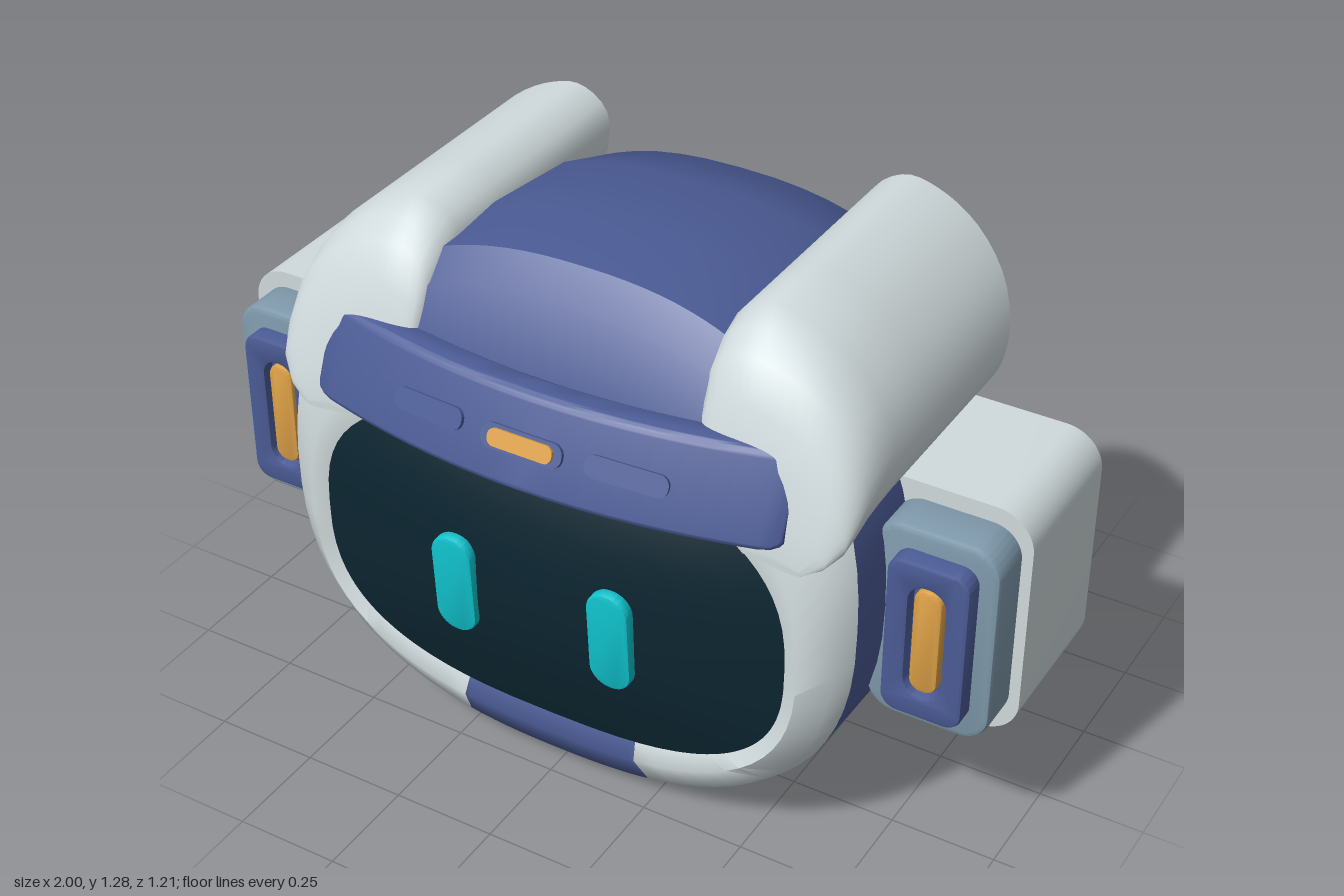
import * as THREE from 'three';
import { toCreasedNormals } from 'three/addons/utils/BufferGeometryUtils.js';

const material = (name, color) => {
  const m = new THREE.MeshStandardMaterial({ color });
  m.name = name;
  return m;
};

// Skin through cross-sections; sections run counter-clockwise seen from the end they advance to
function loft(rings, { closed = true, startCap = false, endCap = false, crease = 1 } = {}) {
  const n = rings[0].length, pos = [], idx = [];
  rings.forEach(r => r.forEach(p => pos.push(p.x, p.y, p.z)));
  for (let i = 0; i < rings.length - 1; i++) {
    for (let j = 0; j < (closed ? n : n - 1); j++) {
      const a = i * n + j, b = i * n + (j + 1) % n;
      idx.push(a, b, a + n, b, b + n, a + n);
    }
  }
  const cap = (row, flip) => {
    const c = new THREE.Vector3();
    rings[row].forEach(p => c.addScaledVector(p, 1 / n));
    const k = pos.length / 3;
    pos.push(c.x, c.y, c.z);
    for (let j = 0; j < n; j++) {
      const a = row * n + j, b = row * n + (j + 1) % n;
      idx.push(k, flip ? b : a, flip ? a : b);
    }
  };
  if (startCap) cap(0, true);
  if (endCap) cap(rings.length - 1, false);
  const g = new THREE.BufferGeometry();
  g.setAttribute('position', new THREE.Float32BufferAttribute(pos, 3));
  g.setIndex(idx);
  return toCreasedNormals(g, crease);
}

// Superellipse ring; the front rings lean back towards the top
function oval([z, bottom, top, halfWidth], { n = 2.4, lean = 0, from = 0, to = Math.PI * 2, steps = 64, closed = true } = {}) {
  const pts = [], count = closed ? steps : steps + 1;
  const power = v => Math.sign(v) * Math.abs(v) ** (2 / n);
  for (let i = 0; i < count; i++) {
    const a = from + (to - from) * i / steps;
    const y = (top + bottom) / 2 + (top - bottom) / 2 * power(Math.sin(a));
    pts.push(new THREE.Vector3(halfWidth * power(Math.cos(a)), y, z - lean * Math.max(0, y - 0.6) ** 2));
  }
  return pts;
}

function roundedRect(w, h, r, Type = THREE.Shape) {
  const s = new Type(), x = w / 2, y = h / 2;
  s.absarc(x - r, y - r, r, 0, Math.PI / 2);
  s.absarc(-x + r, y - r, r, Math.PI / 2, Math.PI);
  s.absarc(-x + r, -y + r, r, Math.PI, Math.PI * 1.5);
  s.absarc(x - r, -y + r, r, Math.PI * 1.5, Math.PI * 2);
  s.closePath();
  return s;
}

// Rounded plate from z = 0 to z = depth, with an optional rounded hole [w, h, r]
function plate(w, h, r, depth, bevel = 0, hole = null) {
  const s = roundedRect(w - 2 * bevel, h - 2 * bevel, r - bevel);
  if (hole) s.holes.push(roundedRect(...hole, THREE.Path));
  const g = new THREE.ExtrudeGeometry(s, {
    depth: depth - 2 * bevel, curveSegments: 8, bevelEnabled: bevel > 0,
    bevelSize: bevel, bevelThickness: bevel, bevelSegments: 2,
  });
  g.translate(0, 0, bevel);
  return toCreasedNormals(g, 0.6);
}

export function createModel() {
  const model = new THREE.Group();
  model.name = 'robotHead';
  const blue = material('blue', 0x4b5b95), white = material('paleGrey', 0xd0dadc);
  const steel = material('steelBlue', 0x7f99ab), dark = material('screenDark', 0x0c2530);
  const cyan = material('cyan', 0x10c4ce), amber = material('amber', 0xdca046);
  const add = (parent, name, geometry, mat, x = 0, y = 0, z = 0) => {
    const m = new THREE.Mesh(geometry, mat);
    m.name = name;
    m.position.set(x, y, z);
    parent.add(m);
    return m;
  };

  // Shell: [z, bottom, top, half width] from back to front
  const lean = 0.24, seam = [0.42, 0.01, 1.25, 0.72];
  const shell = [
    [-0.568, 0.45, 0.82, 0.2], [-0.5, 0.25, 1.03, 0.45], [-0.35, 0.1, 1.17, 0.62],
    [-0.13, 0.02, 1.24, 0.7], [0.14, 0, 1.265, 0.725],
  ].map(r => oval(r));
  add(model, 'shell', loft([...shell, oval(seam, { lean })], { startCap: true }), blue);

  // Face rim, split into pale sides and blue top and bottom
  const rim = [seam, [0.465, 0.04, 1.18, 0.69], [0.505, 0.12, 0.98, 0.625], [0.49, 0.165, 0.895, 0.59]];
  const rad = Math.PI / 180;
  [['rimLeft', -74.5, 55, white], ['rimTop', 55, 125, blue],
    ['rimRight', 125, 254.5, white], ['rimBottom', 254.5, 285.5, blue]].forEach(([name, a, b, mat]) => {
    const rows = rim.map((r, i) => oval(r, {
      n: 2.4 + i * 0.1, lean, from: a * rad, to: b * rad, steps: 24, closed: false,
    }));
    add(model, name, loft(rows, { closed: false }), mat);
  });

  // Domed screen and eyes
  const screen = [1, 0.85, 0.68, 0.5, 0.3, 0.12].map(t =>
    oval([0.49 + 0.062 * (1 - t * t), 0.53 - 0.365 * t, 0.53 + 0.365 * t, 0.59 * t], { n: 2.7, lean }));
  add(model, 'screen', loft(screen, { endCap: true }), dark);
  for (const s of [-1, 1]) {
    const eye = add(model, s > 0 ? 'leftEye' : 'rightEye', plate(0.104, 0.26, 0.05, 0.03, 0.006), cyan, s * 0.2, 0.5, 0.535);
    eye.rotation.x = 0.06;
  }

  // Brow visor, bowed across x and leaning back
  const bow = x => -0.09 * (x / 0.58) ** 2;
  const profile = roundedRect(0.2, 0.07, 0.018).getPoints(4).slice(0, -1);
  const visor = [];
  for (let i = 0; i <= 24; i++) {
    const x = Math.sin((i / 24 - 0.5) * Math.PI) * 0.58;
    const k = 0.84 + 0.16 * Math.sqrt(Math.min(1, (0.58 - Math.abs(x)) / 0.03));
    visor.push(profile.map(p => new THREE.Vector3(x, 0.948 + p.x * k, 0.53 + bow(x) + p.y * k - 0.42 * p.x * k)));
  }
  add(model, 'visor', loft(visor, { startCap: true, endCap: true, crease: 0.7 }), blue);
  const slot = (name, w, h, depth, mat, x) => {
    const m = add(model, name, plate(w, h, h / 2 - 0.002, depth), mat, x, 0.945, 0.565 + bow(x));
    m.rotation.set(-0.4, -Math.atan(2 * bow(x) / (x || 1)), 0);
  };
  slot('visorLampFrame', 0.2, 0.056, 0.009, blue, 0);
  slot('visorLamp', 0.16, 0.04, 0.016, amber, 0);
  for (const s of [-1, 1]) slot('visorSlot', 0.19, 0.05, 0.009, blue, s * 0.245);

  // Top pads: a thick curved section swept front to back, draping over the rim
  const outer = new THREE.CatmullRomCurve3([
    [0.34, 1.04], [0.343, 1.22], [0.42, 1.275], [0.5, 1.262], [0.6, 1.205],
    [0.69, 1.1], [0.726, 0.98], [0.71, 0.915], [0.66, 0.89],
  ].map(([x, y]) => new THREE.Vector3(x, y, 0))).getPoints(30);
  const section = [...outer, new THREE.Vector3(0.5, 0.98, 0)];
  // [z, width scale, height scale]
  const stations = [[0.1, 1, 1], [0.28, 1, 1], [0.34, 0.99, 0.95], [0.39, 0.97, 0.86],
    [0.43, 0.93, 0.68], [0.46, 0.86, 0.48], [0.485, 0.65, 0.25], [0.5, 0.35, 0.08]];
  for (const s of [-1, 1]) {
    const rows = [section.map(p => new THREE.Vector3(p.x * s, p.y,
      -0.34 + 0.14 * (Math.max(0, 1.275 - p.y) / 0.38) ** 1.6))];
    stations.forEach(([z, kx, ky]) => rows.push(section.map(p =>
      new THREE.Vector3(s * (0.57 + (p.x - 0.57) * kx), 0.79 + (p.y - 0.79) * ky, z))));
    if (s > 0) rows.forEach(r => r.reverse());
    add(model, s > 0 ? 'leftPad' : 'rightPad', loft(rows, { startCap: true, endCap: true, crease: 0.8 }), white);
  }

  // Ear pods with stepped fronts and amber lamps
  for (const s of [-1, 1]) {
    const ear = new THREE.Group();
    ear.name = s > 0 ? 'leftEar' : 'rightEar';
    model.add(ear);
    add(ear, 'earBlock', plate(0.4, 0.58, 0.09, 0.355), white, s * 0.8, 0.6, -0.165);
    add(ear, 'earStep', plate(0.29, 0.5, 0.07, 0.145, 0.012), steel, s * 0.83, 0.6, 0.15);
    add(ear, 'earFrame', plate(0.19, 0.4, 0.04, 0.09, 0.008, [0.1, 0.3, 0.048]), blue, s * 0.835, 0.6, 0.25);
    add(ear, 'earSlotFloor', plate(0.12, 0.32, 0.055, 0.02), blue, s * 0.835, 0.6, 0.29);
    add(ear, 'earLamp', plate(0.066, 0.265, 0.03, 0.035, 0.008), amber, s * 0.835, 0.6, 0.3);
  }

  // Rear port: frame, three spokes and lamps
  const port = new THREE.Group();
  port.name = 'rearPort';
  port.position.set(0, 0.64, -0.57);
  model.add(port);
  add(port, 'portFrame', plate(0.34, 0.34, 0.09, 0.085, 0.008, [0.23, 0.23, 0.08]), white, 0, 0, -0.035);
  for (let i = 0; i < 3; i++) {
    const a = Math.PI / 2 + i * Math.PI * 2 / 3, x = Math.cos(a), y = Math.sin(a);
    const spoke = add(port, 'portSpoke', new THREE.BoxGeometry(0.08, 0.014, 0.014), dark, x * 0.04, y * 0.04, -0.006);
    spoke.rotation.z = a;
    add(port, 'portLamp', new THREE.SphereGeometry(0.019, 16, 12), amber, x * 0.085, y * 0.085, -0.01);
  }
  return model;
}
